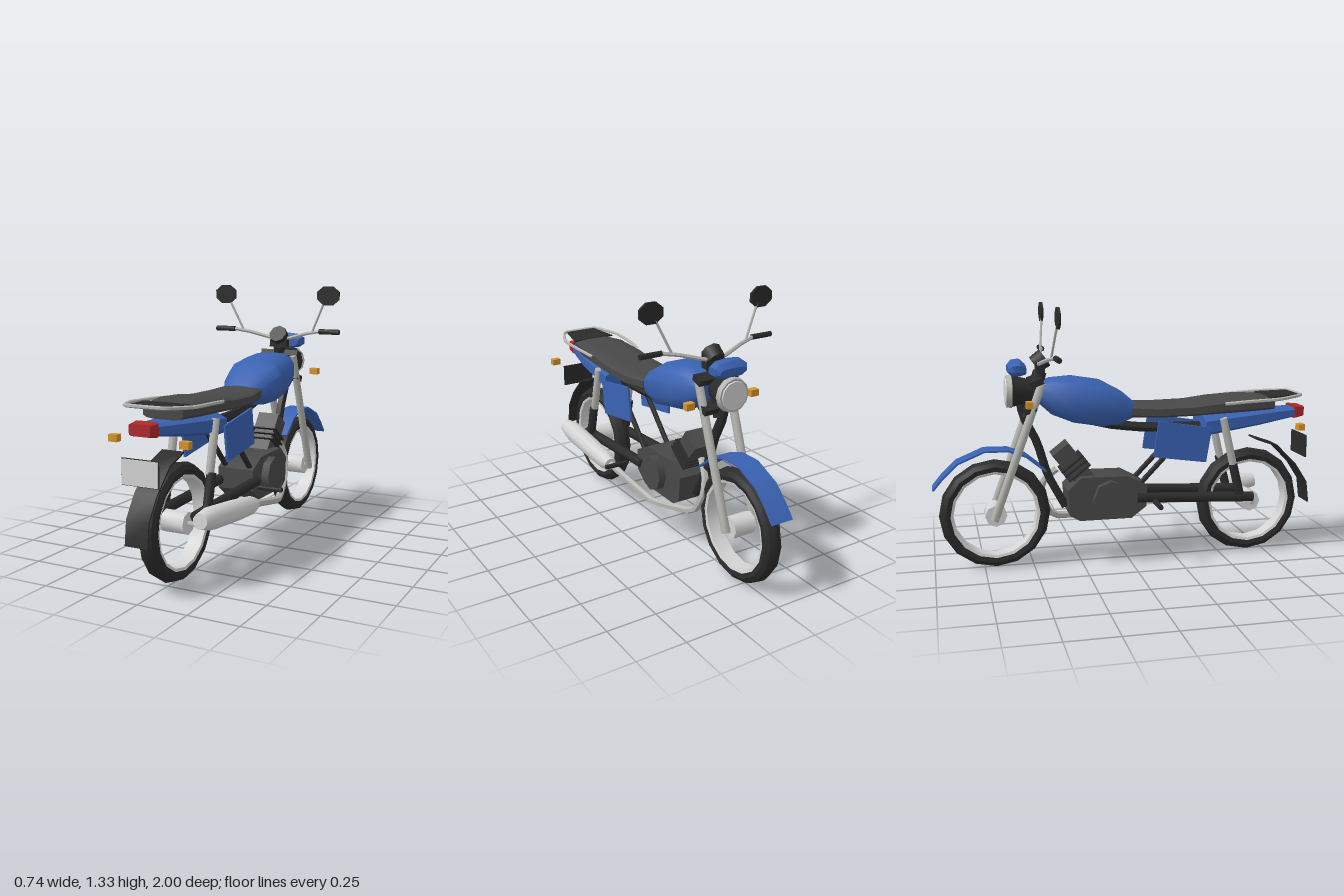
import * as THREE from 'three';
import { toCreasedNormals } from 'three/addons/utils/BufferGeometryUtils.js';

const V = (x, y, z) => new THREE.Vector3(x, y, z);

export function createModel() {
  const root = new THREE.Group();
  root.name = 'motorcycle';
  const mat = (name, color) => {
    const m = new THREE.MeshStandardMaterial({ color });
    m.name = name;
    return m;
  };
  const blue = mat('bluePaint', 0x3a62b2), black = mat('blackParts', 0x2b2b2b);
  const grey = mat('darkGrey', 0x484848), chrome = mat('chromeTube', 0xb4b4b0);
  const silver = mat('silver', 0xd4d4d4), amber = mat('amberLens', 0xd6952c), red = mat('redLens', 0xae2a2c);

  const add = (name, geo, material, crease = 0.6) => {
    const m = new THREE.Mesh(toCreasedNormals(geo, crease), material);
    m.name = name;
    root.add(m);
    return m;
  };
  const box = (name, w, h, d, x, y, z, material, rx = 0) => {
    const m = add(name, new THREE.BoxGeometry(w, h, d), material);
    m.position.set(x, y, z);
    m.rotation.x = rx;
    return m;
  };
  // Straight round bar between two points
  const rod = (name, a, b, r, material, r2 = r, sides = 8) => {
    const dir = b.clone().sub(a);
    const m = add(name, new THREE.CylinderGeometry(r2, r, dir.length(), sides), material, 0.9);
    m.position.copy(a).add(b).multiplyScalar(0.5);
    m.quaternion.setFromUnitVectors(V(0, 1, 0), dir.normalize());
    return m;
  };
  // Bent tube through points
  const tube = (name, pts, r, material, seg = 12) => {
    const path = new THREE.CurvePath();
    for (let i = 1; i < pts.length; i++) path.add(new THREE.LineCurve3(pts[i - 1], pts[i]));
    const curve = seg ? new THREE.CatmullRomCurve3(pts, false, 'catmullrom', 0.15) : path;
    return add(name, new THREE.TubeGeometry(curve, seg || 12, r, 6), material, 0.9);
  };
  // Body lofted from rear to front; section = [z, bottom, top, halfWidth]
  const loft = (name, sections, power, n, material, crease) => {
    const pos = [], idx = [];
    const bulge = (t) => Math.sign(t) * Math.abs(t) ** power;
    for (const [z, lo, hi, w] of sections) {
      for (let k = 0; k < n; k++) {
        const a = ((k + 0.5) / n) * Math.PI * 2;
        pos.push(w * bulge(Math.cos(a)), (lo + hi) / 2 + ((hi - lo) / 2) * bulge(Math.sin(a)), z);
      }
    }
    const last = (sections.length - 1) * n;
    for (let i = 0; i < last; i += n) {
      for (let k = 0; k < n; k++) {
        const j = (k + 1) % n;
        idx.push(i + k, i + n + k, i + j, i + j, i + n + k, i + n + j);
      }
    }
    for (let k = 1; k < n - 1; k++) idx.push(0, k, k + 1, last, last + k + 1, last + k);
    const g = new THREE.BufferGeometry();
    g.setAttribute('position', new THREE.Float32BufferAttribute(pos, 3));
    g.setIndex(idx);
    return add(name, g, material, crease);
  };
  // Side outline in (z, y) extruded across x
  const sidePlate = (name, pts, width, x, material) => {
    const shape = new THREE.Shape(pts.map(([z, y]) => new THREE.Vector2(z, y)));
    const g = new THREE.ExtrudeGeometry(shape, { depth: width, bevelEnabled: false });
    g.translate(0, 0, -width / 2).rotateY(-Math.PI / 2).translate(x, 0, 0);
    return add(name, g, material, 0.5);
  };

  // Wheels: tyre, rim band and hub
  const ring = (pts) => new THREE.LatheGeometry(pts.map(([r, x]) => new THREE.Vector2(r, x)), 16).rotateZ(Math.PI / 2);
  for (const [label, z] of [['rear', 0.66], ['front', -0.69]]) {
    const tyre = ring([[0.222, -0.04], [0.25, -0.046], [0.272, -0.032], [0.282, 0],
      [0.272, 0.032], [0.25, 0.046], [0.222, 0.04], [0.222, -0.04]]);
    const rim = ring([[0.212, -0.038], [0.226, -0.042], [0.226, 0.042], [0.212, 0.038], [0.212, -0.038]]);
    add(label + 'Tyre', tyre, black, 0.5).position.set(0, 0.281, z);
    add(label + 'Rim', rim, silver, 0.5).position.set(0, 0.281, z);
    rod(label + 'Hub', V(-0.06, 0.281, z), V(0.06, 0.281, z), 0.055, silver);
    rod(label + 'Axle', V(-0.1, 0.281, z), V(0.1, 0.281, z), 0.012, chrome);
  }

  // Fenders: thin strips following the wheels
  const fender = (name, pts, cz, material) => {
    const inner = pts.map(([z, y]) => {
      const d = Math.hypot(z - cz, y - 0.28);
      return [z - (0.009 * (z - cz)) / d, y - (0.009 * (y - 0.28)) / d];
    });
    sidePlate(name, [...pts, ...inner.reverse()], 0.115, 0, material);
  };
  fender('frontFender', [[-0.43, 0.5], [-0.53, 0.582], [-0.62, 0.615], [-0.74, 0.617], [-0.876, 0.56], [-0.95, 0.49], [-1, 0.43]], -0.69, blue);
  fender('rearFender', [[1, 0.255], [0.985, 0.37], [0.92, 0.47], [0.81, 0.58], [0.69, 0.622]], 0.66, black);
  box('plateBacking', 0.19, 0.12, 0.006, 0, 0.573, 0.956, black);
  box('numberPlate', 0.184, 0.114, 0.004, 0, 0.573, 0.961, silver);

  // Tank, seat and tail
  loft('fuelTank', [[0.03, 0.76, 0.835, 0.09], [-0.04, 0.725, 0.895, 0.13], [-0.14, 0.715, 0.95, 0.158],
    [-0.29, 0.74, 0.975, 0.148], [-0.4, 0.785, 0.968, 0.115], [-0.47, 0.85, 0.945, 0.075]], 0.75, 12, blue, 0.75);
  loft('seat', [[0.77, 0.775, 0.845, 0.105], [0.62, 0.77, 0.855, 0.135], [0.46, 0.765, 0.845, 0.142],
    [0.33, 0.76, 0.828, 0.142], [0.14, 0.757, 0.824, 0.138], [0.0, 0.76, 0.832, 0.11]], 0.5, 12, grey, 0.6);
  loft('rackPlate', [[0.905, 0.848, 0.857, 0.09], [0.74, 0.84, 0.849, 0.125]], 0.3, 8, black, 0.4);
  loft('tailCowl', [[0.91, 0.725, 0.78, 0.06], [0.7, 0.69, 0.775, 0.1], [0.39, 0.645, 0.755, 0.122]], 0.6, 8, blue, 0.4);
  loft('tailLight', [[0.955, 0.73, 0.785, 0.055], [0.9, 0.72, 0.79, 0.063]], 0.25, 8, red, 0.4);
  tube('rackRail', [V(-0.145, 0.825, 0.48), V(-0.16, 0.835, 0.6), V(-0.165, 0.843, 0.77), V(-0.1, 0.853, 0.915),
    V(0.1, 0.853, 0.915), V(0.165, 0.843, 0.77), V(0.16, 0.835, 0.6), V(0.145, 0.825, 0.48)], 0.009, chrome, 36);

  // Frame
  tube('backbone', [V(0, 0.69, 0.5), V(0, 0.695, 0.1), V(0, 0.73, -0.15), V(0, 0.88, -0.47)], 0.026, black);
  tube('downTube', [V(0, 0.92, -0.56), V(0, 0.78, -0.54), V(0, 0.64, -0.47), V(0, 0.47, -0.42), V(0, 0.3, -0.33)], 0.024, black);
  rod('steeringHead', V(0, 0.77, -0.52), V(0, 1.0, -0.45), 0.035, black);

  // Engine with tilted finned cylinder
  sidePlate('crankcase', [[0.08, 0.3], [0.08, 0.41], [-0.02, 0.462], [-0.26, 0.465], [-0.33, 0.4], [-0.32, 0.27], [-0.27, 0.24], [0, 0.24]], 0.2, 0, grey);
  rod('engineCovers', V(-0.14, 0.355, -0.11), V(0.14, 0.355, -0.11), 0.093, grey);
  const up = V(0, 0.79, -0.61), base = V(0, 0.44, -0.23);
  const lean = -Math.atan2(0.61, 0.79);
  const along = (t) => base.clone().addScaledVector(up, t);
  const block = (name, w, h, d, t, material) => {
    const p = along(t);
    box(name, w, h, d, 0, p.y, p.z, material, lean);
  };
  block('cylinder', 0.11, 0.14, 0.1, 0.06, grey);
  block('cylinderHead', 0.12, 0.085, 0.105, 0.17, grey);
  for (let i = 0; i < 3; i++) block('coolingFin', 0.15, 0.008, 0.14, 0.055 + i * 0.03, black);

  // Exhaust
  tube('exhaustPipe', [V(0, 0.5, -0.37), V(0.02, 0.45, -0.43), V(0.04, 0.36, -0.455), V(0.06, 0.24, -0.39),
    V(0.14, 0.21, -0.14), V(0.178, 0.285, 0.25)], 0.019, chrome, 20);
  const muffler = new THREE.LatheGeometry([[0, 0], [0.034, 0], [0.047, 0.05], [0.053, 0.2], [0.055, 0.44], [0.037, 0.535], [0, 0.535]]
    .map(([r, h]) => new THREE.Vector2(r, h)), 10);
  const muff = add('muffler', muffler, silver, 0.7);
  muff.position.set(0.182, 0.283, 0.235);
  muff.rotation.x = Math.PI / 2 - 0.095;

  // Paired parts, left and right
  for (const s of [1, -1]) {
    rod('forkLeg', V(s * 0.083, 0.95, -0.45), V(s * 0.083, 0.265, -0.7), 0.021, chrome);
    rod('shockUpper', V(s * 0.108, 0.745, 0.485), V(s * 0.108, 0.49, 0.545), 0.021, chrome);
    rod('shockLower', V(s * 0.115, 0.5, 0.54), V(s * 0.115, 0.34, 0.58), 0.024, black);
    rod('swingArm', V(s * 0.095, 0.315, 0.66), V(s * 0.095, 0.345, 0.03), 0.027, black);
    rod('frameStrut', V(s * 0.07, 0.65, 0.28), V(s * 0.07, 0.38, 0.02), 0.014, black);
    sidePlate('sidePanel', [[0.42, 0.7], [0.136, 0.745], [0.11, 0.56], [0.39, 0.52]], 0.012, s * 0.118, blue);
    rod('footPeg', V(s * 0.15, 0.335, 0.11), V(s * 0.277, 0.335, 0.11), 0.013, black);
    rod('grip', V(s * 0.255, 1.09, -0.405), V(s * 0.37, 1.09, -0.405), 0.014, black);
    tube('handlebar', [V(0, 1.035, -0.46), V(s * 0.06, 1.045, -0.46), V(s * 0.17, 1.075, -0.43), V(s * 0.255, 1.09, -0.408)], 0.01, chrome);
    rod('mirrorStem', V(s * 0.21, 1.09, -0.42), V(s * 0.285, 1.25, -0.4), 0.006, chrome, 0.006, 6);
    const mirror = add('mirror', new THREE.CylinderGeometry(1, 1, 0.012, 8).rotateY(Math.PI / 8).rotateX(Math.PI / 2), black);
    mirror.scale.set(0.067, 0.054, 1);
    mirror.position.set(s * 0.307, 1.282, -0.4);
    box('rearIndicator', 0.045, 0.033, 0.034, s * 0.182, 0.698, 0.88, amber);
    box('frontIndicator', 0.045, 0.033, 0.034, s * 0.182, 0.86, -0.525, amber);
  }

  // Steering clamps, gauge, headlight and visor
  box('upperClamp', 0.22, 0.03, 0.06, 0, 0.955, -0.475, black, -0.35);
  box('lowerClamp', 0.2, 0.03, 0.06, 0, 0.82, -0.51, black, -0.35);
  box('gaugeBracket', 0.1, 0.04, 0.04, 0, 1.015, -0.45, black);
  rod('gauge', V(0, 1.035, -0.475), V(0, 1.07, -0.425), 0.046, black, 0.05);
  rod('headlightShell', V(0, 0.905, -0.49), V(0, 0.905, -0.6), 0.055, black, 0.082, 12);
  rod('headlightRing', V(0, 0.905, -0.595), V(0, 0.905, -0.622), 0.085, chrome, 0.08, 12);
  rod('headlightLens', V(0, 0.905, -0.62), V(0, 0.905, -0.627), 0.072, silver, 0.068, 12);
  loft('visor', [[-0.525, 0.99, 1.04, 0.08], [-0.555, 0.98, 1.068, 0.096], [-0.59, 0.98, 1.062, 0.094], [-0.612, 1.0, 1.035, 0.075]], 0.75, 10, blue, 0.6);
  return root;
}
